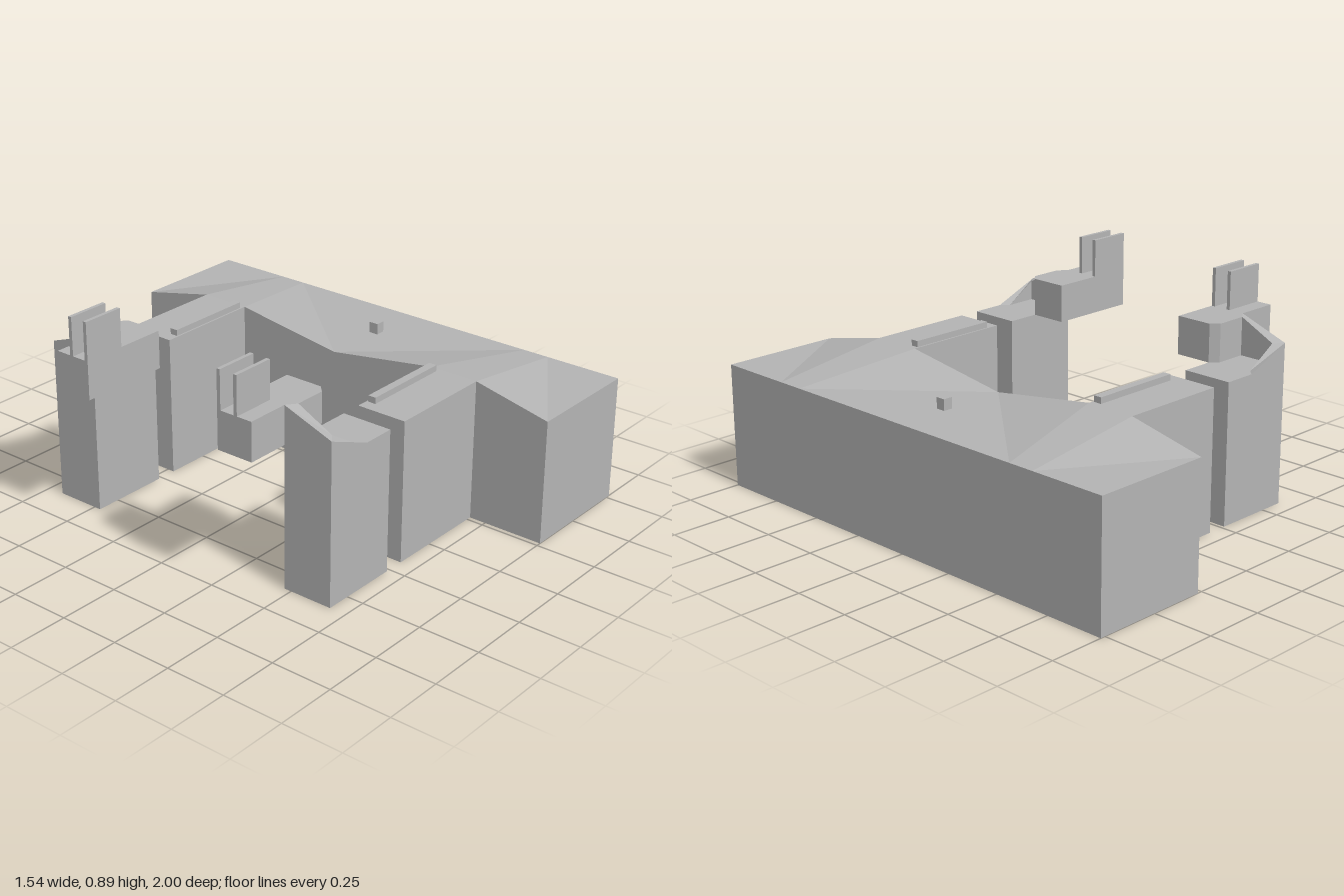
import * as THREE from 'three';

const grey = new THREE.MeshStandardMaterial({ color: 0xb4b4b4 });
grey.name = 'plain grey';

function add(group, name, geometry) {
  const mesh = new THREE.Mesh(geometry, grey);
  mesh.name = name;
  group.add(mesh);
}

// Box given by its limits; s mirrors it across z = 0
function box(group, name, [x0, x1], [y0, y1], [z0, z1], s = 1) {
  const g = new THREE.BoxGeometry(x1 - x0, y1 - y0, z1 - z0);
  g.translate((x0 + x1) / 2, (y0 + y1) / 2, (s * (z0 + z1)) / 2);
  add(group, name, g);
}

// Upright prism over an outline of [x, z, topHeight], with a sloping top
function prism(outline, base, faces) {
  const flat = outline.map(([x, z]) => new THREE.Vector2(x, -z));
  const tris = faces || THREE.ShapeUtils.triangulateShape(flat, []);
  const turn = THREE.ShapeUtils.area(flat) > 0 ? 1 : -1;
  const pos = [];
  const top = (i) => [outline[i][0], outline[i][2], outline[i][1]];
  const low = (i) => [outline[i][0], base, outline[i][1]];
  const tri = (a, b, c) => pos.push(...a, ...b, ...c);
  for (const [a, b, c] of tris) {
    const up = THREE.ShapeUtils.area([flat[a], flat[b], flat[c]]) > 0;
    const [p, q] = up ? [b, c] : [c, b];
    tri(top(a), top(p), top(q));
    tri(low(a), low(q), low(p));
  }
  outline.forEach((_, i) => {
    const j = (i + 1) % outline.length;
    const [a, b] = turn > 0 ? [i, j] : [j, i];
    tri(low(a), low(b), top(b));
    tri(low(a), top(b), top(a));
  });
  const g = new THREE.BufferGeometry();
  g.setAttribute('position', new THREE.Float32BufferAttribute(pos, 3));
  g.computeVertexNormals();
  return g;
}

export function createModel() {
  const model = new THREE.Group();
  model.name = 'model';

  // Long body: the inner edge rises to meet the arms, the outer edge stays level
  const half = [[1, 0.51, 1], [0.68, 0.58, 0.68], [0.47, 0.58, 0.57]];
  const rows = [
    ...half,
    [0, 0.51, 0],
    ...half.map(([a, y, b]) => [-a, y, -b]).reverse(),
  ];
  const n = rows.length;
  const outline = [
    ...rows.map(([z, y]) => [0.27, z, y]),
    ...rows.map(([, , z]) => [0.77, z, 0.51]).reverse(),
  ];
  const roof = [];
  for (let i = 0; i < n - 1; i++) {
    const l0 = i, l1 = i + 1, r0 = 2 * n - 1 - i, r1 = r0 - 1;
    if (i === 0 || i === 3) roof.push([l0, l1, r1], [l0, r1, r0]);
    else roof.push([l0, l1, r0], [l1, r1, r0]);
  }
  add(model, 'body', prism(outline, 0, roof));
  box(model, 'knob', [0.52, 0.56], [0.5, 0.555], [-0.015, 0.025]);

  for (const s of [1, -1]) {
    const side = new THREE.Group();
    side.name = s > 0 ? 'frontSide' : 'backSide';
    model.add(side);

    // Arm with a rail along its inner edge
    box(side, 'arm', [-0.18, 0.27], [0, 0.58], [0.47, 0.68], s);
    box(side, 'rail', [-0.13, 0.25], [0.57, 0.605], [0.477, 0.51], s);

    // Free-standing pillar
    box(side, 'pillar', [-0.6, -0.265], [0, 0.58], [0.47, 0.68], s);

    // Overhanging bracket with chamfered outer corners
    const bracket = [
      [-0.775, 0.315], [-0.4, 0.315], [-0.4, 0.47], [-0.43, 0.5],
      [-0.56, 0.5], [-0.6, 0.47], [-0.775, 0.47],
    ].map(([x, z]) => [x, s * z, 0.735]);
    add(side, 'bracket', prism(bracket, 0.58));

    // Low sloping wall that wraps the pillar corner
    const wall = [
      [-0.6, 0.47, 0.735], [-0.56, 0.5, 0.735], [-0.56, 0.65, 0.66],
      [-0.43, 0.65, 0.58], [-0.4, 0.68, 0.58], [-0.6, 0.68, 0.66],
    ].map(([x, z, y]) => [x, s * z, y]);
    const wallTop = [[0, 1, 2], [0, 2, 5], [5, 2, 3], [5, 3, 4]];
    add(side, 'cornerWall', prism(wall, 0.58, wallTop));

    // Pair of upright plates
    for (const z of [0.315, 0.39]) {
      box(side, 'plate', [-0.775, -0.6], [0.73, 0.89], [z, z + 0.015], s);
    }
  }
  return model;
}
